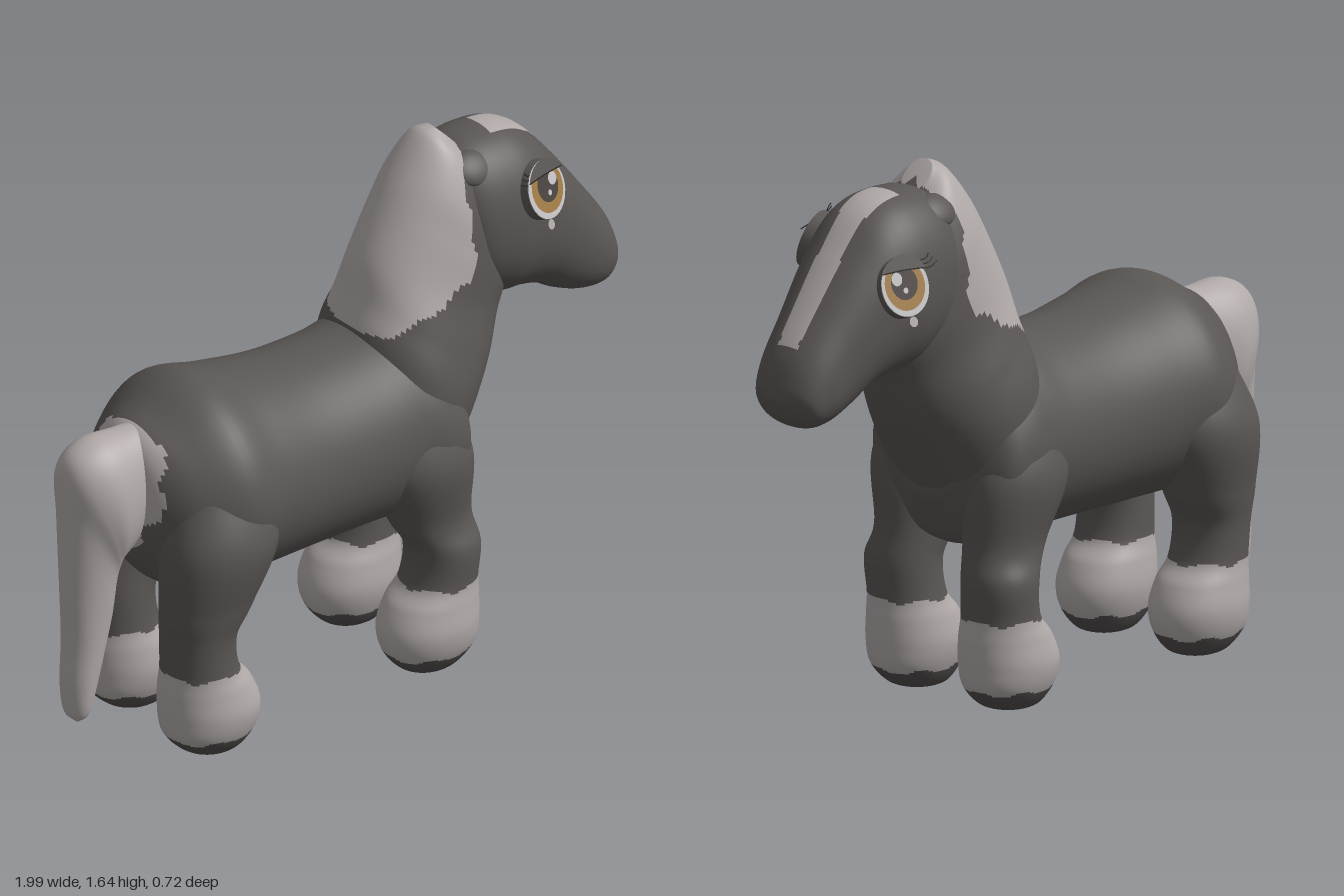
import * as THREE from 'three';

const mat = (name, color, side = THREE.FrontSide) => {
  const m = new THREE.MeshStandardMaterial({ color, side });
  m.name = name;
  return m;
};

export function createModel() {
  const coat = mat('dark coat', 0x5a5654);
  const pale = mat('pale hair', 0xb0a9a8);
  const sole = mat('hoof sole', 0x504c4b);
  const white = mat('eye white', 0xc4c2c4);
  const amber = mat('amber iris', 0xa07a45);
  const pupilMat = mat('pupil', 0x4a4340);
  const lashMat = mat('lash', 0x2a2626, THREE.DoubleSide);
  const palette = [coat, pale, sole];

  const model = new THREE.Group();
  model.name = 'pony';

  const add = (parent, name, geo, material, x = 0, y = 0, z = 0) => {
    const m = new THREE.Mesh(geo, material);
    m.name = name;
    m.position.set(x, y, z);
    parent.add(m);
    return m;
  };

  // Smooth loft: each ring is [x1, y1, x2, y2, halfWidthZ, centreZ], where the two
  // points are opposite ends of the section; pick(x, y, z) returns a palette index.
  function loft(name, rings, pick, { steps = 64, sides = 72, power = 2.1 } = {}) {
    const A = new THREE.CatmullRomCurve3(rings.map(r => new THREE.Vector3(r[0], r[1], r[4])), false, 'catmullrom');
    const B = new THREE.CatmullRomCurve3(rings.map(r => new THREE.Vector3(r[2], r[3], r[5] || 0)), false, 'catmullrom');
    const pos = [];
    const round = v => Math.sign(v) * Math.abs(v) ** (2 / power);
    for (let i = 0; i <= steps; i++) {
      const a = A.getPoint(i / steps), b = B.getPoint(i / steps);
      for (let j = 0; j < sides; j++) {
        const t = (j / sides) * Math.PI * 2;
        const c = round(Math.cos(t)) / 2, s = round(Math.sin(t));
        pos.push((a.x + b.x) / 2 + (a.x - b.x) * c, (a.y + b.y) / 2 + (a.y - b.y) * c, b.z + s * a.z);
      }
    }
    // End centres
    for (const r of [rings[0], rings[rings.length - 1]]) pos.push((r[0] + r[2]) / 2, (r[1] + r[3]) / 2, r[5] || 0);
    const buckets = palette.map(() => []);
    // Each face takes one colour, chosen at its middle
    const face = (...v) => {
      const mid = k => v.reduce((sum, n) => sum + pos[n * 3 + k], 0) / v.length;
      const bucket = buckets[pick(mid(0), mid(1), mid(2))];
      bucket.push(v[0], v[1], v[2]);
      if (v.length === 4) bucket.push(v[0], v[2], v[3]);
    };
    const start = (steps + 1) * sides, last = steps * sides;
    for (let j = 0; j < sides; j++) {
      const k = (j + 1) % sides;
      face(start, k, j);
      face(start + 1, last + j, last + k);
      for (let i = 0; i < steps; i++) {
        const p = i * sides, q = p + sides;
        face(p + j, p + k, q + k, q + j);
      }
    }
    const geo = new THREE.BufferGeometry();
    geo.setAttribute('position', new THREE.Float32BufferAttribute(pos, 3));
    geo.setIndex(buckets.flat());
    let offset = 0;
    buckets.forEach((b, i) => {
      if (b.length) geo.addGroup(offset, b.length, i);
      offset += b.length;
    });
    geo.computeVertexNormals();
    return add(model, name, geo, palette);
  }

  // Torso, with a pale patch at the root of the tail
  loft('torso', [
    [-0.785, 0.94, -0.785, 0.70, 0.08], [-0.755, 1.015, -0.755, 0.61, 0.17], [-0.68, 1.06, -0.68, 0.51, 0.27],
    [-0.55, 1.125, -0.55, 0.475, 0.335], [-0.40, 1.10, -0.40, 0.47, 0.315], [-0.20, 1.07, -0.20, 0.47, 0.295],
    [0, 1.07, 0, 0.47, 0.29], [0.12, 1.09, 0.12, 0.465, 0.29], [0.21, 1.07, 0.21, 0.465, 0.295],
    [0.30, 0.98, 0.30, 0.50, 0.265], [0.365, 0.82, 0.365, 0.64, 0.12],
  ], (x, y, z) => (x < -0.785 + 0.14 * (y - 0.62) + 0.01 * Math.sin(40 * y) && y > 0.62 && Math.abs(z) < 0.17 ? 1 : 0),
  { power: 1.95 });

  // Neck and head share the mane border
  const inMane = (x, y) =>
    x < 0.375 + 0.008 * Math.sin(y * 50) + Math.max(0, y - 1.5) * 0.6 &&
    y > 1.06 + 0.43 * x + 0.008 * Math.sin(x * 45);

  loft('neck and mane', [
    [0.02, 0.92, 0.33, 0.60, 0.26], [0.05, 1.07, 0.42, 0.755, 0.265], [0.08, 1.17, 0.50, 0.89, 0.235],
    [0.11, 1.29, 0.55, 1.01, 0.2], [0.19, 1.45, 0.58, 1.10, 0.187], [0.25, 1.545, 0.56, 1.25, 0.168],
    [0.315, 1.625, 0.51, 1.43, 0.115], [0.36, 1.645, 0.44, 1.56, 0.045],
  ], (x, y) => (inMane(x, y) ? 1 : 0), { steps: 90, sides: 96 });

  // Head with a tapering blaze down the face
  loft('head', [
    [0.33, 1.45, 0.38, 1.20, 0.10], [0.41, 1.57, 0.44, 1.10, 0.18], [0.55, 1.59, 0.54, 1.055, 0.20],
    [0.66, 1.555, 0.62, 1.045, 0.19], [0.76, 1.45, 0.70, 1.025, 0.172], [0.87, 1.31, 0.77, 0.985, 0.15],
    [0.955, 1.19, 0.85, 0.955, 0.135], [0.99, 1.10, 0.92, 0.955, 0.11], [0.998, 1.05, 0.97, 0.99, 0.045],
  ], (x, y, z) => {
    if (inMane(x, y)) return 1;
    return x > 0.53 && x < 0.945 && y > 1.2 && Math.abs(z) < 0.058 - 0.05 * (x - 0.53) ? 1 : 0;
  }, { steps: 72, sides: 144, power: 2.2 });

  // Tail: leaves the rump level, then hangs to a point
  loft('tail', [
    [-0.72, 0.70, -0.70, 1.03, 0.09], [-0.79, 0.64, -0.78, 1.03, 0.115], [-0.82, 0.62, -0.90, 1.03, 0.13],
    [-0.82, 0.59, -0.98, 0.97, 0.115], [-0.82, 0.55, -0.99, 0.82, 0.09], [-0.83, 0.46, -0.985, 0.56, 0.075],
    [-0.855, 0.36, -0.98, 0.40, 0.067], [-0.885, 0.25, -0.985, 0.25, 0.06], [-0.91, 0.165, -0.975, 0.16, 0.047],
    [-0.94, 0.13, -0.952, 0.13, 0.015],
  ], x => (x < -0.735 ? 1 : 0));

  // Legs: [xBack, xFront, y, halfWidth, centreZ]; front legs are the hind ones reversed
  const hind = [
    [-0.63, -0.55, 0.004, 0.04, 0.18], [-0.69, -0.50, 0.022, 0.085, 0.18], [-0.745, -0.455, 0.08, 0.12, 0.182],
    [-0.755, -0.445, 0.15, 0.135, 0.182], [-0.755, -0.475, 0.225, 0.127, 0.182], [-0.75, -0.525, 0.29, 0.115, 0.185],
    [-0.755, -0.535, 0.40, 0.115, 0.19], [-0.765, -0.48, 0.50, 0.125, 0.20], [-0.76, -0.40, 0.70, 0.15, 0.21],
    [-0.69, -0.44, 0.88, 0.09, 0.2],
  ];
  const hoofColour = (x, y, z) => {
    const wave = 0.007 * Math.sin(x * 40 + z * 30);
    return y < 0.072 + wave ? 2 : y < 0.285 + wave ? 1 : 0;
  };
  const legDetail = { steps: 110, sides: 56 };
  for (const s of [1, -1]) {
    const side = s > 0 ? 'near' : 'far';
    loft(side + ' hindLeg', hind.map(([a, b, y, w, z]) => [a, y, b, y, w, s * z]), hoofColour, legDetail);
    loft(side + ' frontLeg', hind.map(([a, b, y, w, z]) => {
      const upper = y > 0.45, slim = upper ? 0.87 : 1;
      return [-0.395 - b, y, -0.395 - a - (upper ? 0.025 : 0), y, w * slim, s * z * slim];
    }), hoofColour, legDetail);

    // Small ear folded flat into the side of the head
    const ear = add(model, side + ' ear', new THREE.SphereGeometry(1, 24, 16), coat, 0.43, 1.525, s * 0.108);
    ear.scale.set(0.065, 0.055, 0.026);
    ear.rotation.x = -s * 0.75;
  }

  // Eyes: raised disc with thin layered plates, set slightly unevenly
  function eye(name, s, x, y, z) {
    const g = new THREE.Group();
    g.name = name;
    g.position.set(x, y, z);
    g.lookAt(x + 0.25, y + 0.34, z + s);
    model.add(g);
    const disc = (part, r, material, dx, dy, layer) => {
      add(g, part, new THREE.CircleGeometry(r, 36), material, s * dx, dy, layer * 0.002).scale.y = 1.1;
    };
    const rim = add(g, 'eye socket', new THREE.CylinderGeometry(0.081, 0.083, 0.05, 36), coat, 0, 0, -0.025);
    rim.rotation.x = Math.PI / 2;
    rim.scale.z = 1.1;
    disc('eye white', 0.08, white, 0, 0, 1);
    disc('iris', 0.068, amber, 0.002, 0.004, 2);
    disc('pupil', 0.045, pupilMat, 0.004, 0.01, 3);
    disc('highlight', 0.018, white, 0.028, 0.024, 4);
    disc('small highlight', 0.008, white, 0.004, -0.012, 4);
    disc('tear spot', 0.014, pale, -0.012, -0.105, -2);

    // Upper lid, its dark edge and the lashes
    const lid = new THREE.Shape();
    lid.absarc(0, 0, 0.084, 0.5, Math.PI - 0.5);
    add(g, 'eyelid', new THREE.ShapeGeometry(lid, 24), coat, 0, 0, 0.011).scale.y = 1.1;
    const tube = (part, pts, r) => add(g, part, new THREE.TubeGeometry(
      new THREE.CatmullRomCurve3(pts.map(p => new THREE.Vector3(s * p[0], p[1], p[2]))), 10, r, 5), lashMat);
    tube('lid edge', [[-0.074, 0.044, 0.011], [0, 0.047, 0.012], [0.074, 0.044, 0.011]], 0.002);
    for (let i = 0; i < 3; i++) {
      const t = i * 0.013;
      tube('lash', [[-0.078 + t * 0.6, 0.042 + t, 0.008], [-0.094 + t * 0.6, 0.046 + t, 0.014],
        [-0.112 + t * 0.9, 0.058 + t, 0.014]], 0.0018);
    }
  }
  eye('near eye', 1, 0.63, 1.425, 0.197);
  eye('far eye', -1, 0.66, 1.36, -0.197);

  return model;
}
